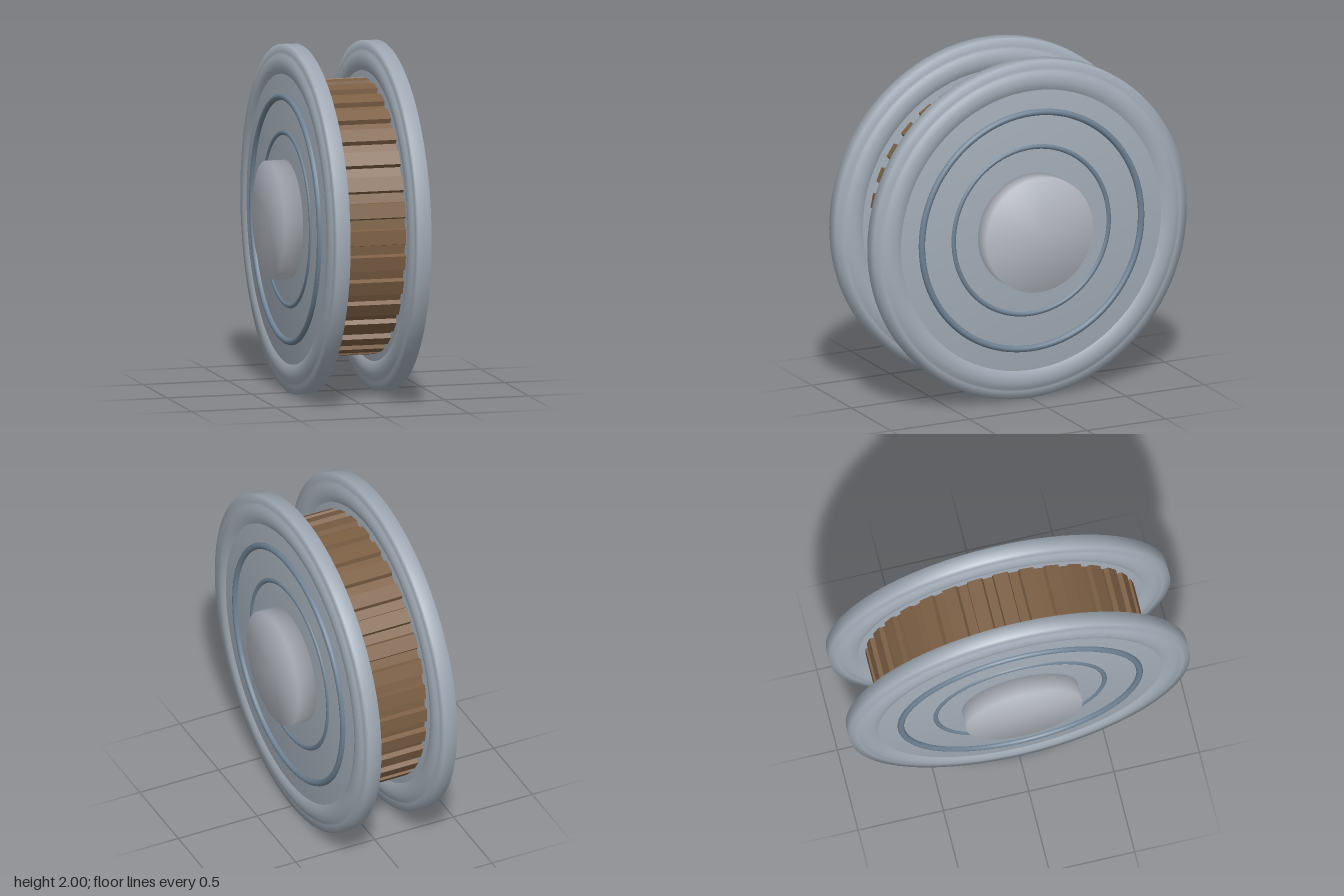
import * as THREE from 'three';

const SEG = 96;
const FLANGE_X = 0.24;
const paint = (color) => new THREE.MeshStandardMaterial({ color });
const steel = paint(0xa3adb8);
const ringSteel = paint(0x6f8294);
const hubSteel = paint(0xb8bcc4);
const wood = paint(0x7d6045);

// Spins a [radius, x] profile round the x axis.
function turned(name, profile, material) {
  const points = profile.map(([r, x]) => new THREE.Vector2(r, x));
  const geometry = new THREE.LatheGeometry(points, SEG).rotateZ(-Math.PI / 2);
  const mesh = new THREE.Mesh(geometry, material);
  mesh.name = name;
  return mesh;
}

function ring(name, radius, tube, x) {
  const geometry = new THREE.TorusGeometry(radius, tube, 12, SEG).rotateY(Math.PI / 2);
  const mesh = new THREE.Mesh(geometry, ringSteel);
  mesh.name = name;
  mesh.position.x = x;
  return mesh;
}

// One side plate, with its outside towards +x.
function makeFlange(name) {
  const flange = new THREE.Group();
  flange.name = name;

  // Rim: a thin lip around a rounded bead, the same on both faces.
  const half = [
    [0.82, 0.045], [0.835, 0.052], [0.855, 0.061], [0.88, 0.065], [0.905, 0.063],
    [0.925, 0.057], [0.94, 0.049], [0.955, 0.042], [1, 0.04],
  ];
  const inner = half.map(([r, t]) => [r, FLANGE_X - t]);
  const outer = half.map(([r, t]) => [r, FLANGE_X + t]).reverse();
  flange.add(turned('rim', [...inner, ...outer], steel));

  // Disc filling the rim
  flange.add(turned('disc', [[0, 0.19], [0.83, 0.19], [0.83, 0.292], [0, 0.292]], steel));

  // Raised rings and central hub
  flange.add(ring('outerRing', 0.7, 0.019, 0.295));
  flange.add(ring('innerRing', 0.495, 0.015, 0.287));
  flange.add(turned('hub', [[0, 0.25], [0.34, 0.25], [0.34, 0.4], [0, 0.4]], hubSteel));
  return flange;
}

// Drum with shallow teeth running across it
function makeDrum() {
  const teeth = 32;
  const step = (Math.PI * 2) / teeth;
  const corners = [[-0.27, 0.79], [0.27, 0.79], [0.32, 0.762], [0.68, 0.762]];
  const points = [];
  for (let i = 0; i < teeth; i++) {
    for (const [t, r] of corners) {
      const a = (i + t) * step;
      points.push(new THREE.Vector2(r * Math.cos(a), r * Math.sin(a)));
    }
  }
  const geometry = new THREE.ExtrudeGeometry(new THREE.Shape(points), {
    depth: 0.4, bevelEnabled: false,
  });
  geometry.translate(0, 0, -0.2).rotateY(Math.PI / 2);
  const drum = new THREE.Mesh(geometry, wood);
  drum.name = 'drum';
  return drum;
}

export function createModel() {
  const model = new THREE.Group();
  model.name = 'spool';
  const left = makeFlange('leftFlange');
  const right = makeFlange('rightFlange');
  right.rotation.y = Math.PI;
  model.add(left, right, makeDrum());
  model.position.y = 1;

  const root = new THREE.Group();
  root.name = 'wheel';
  root.add(model);
  return root;
}
